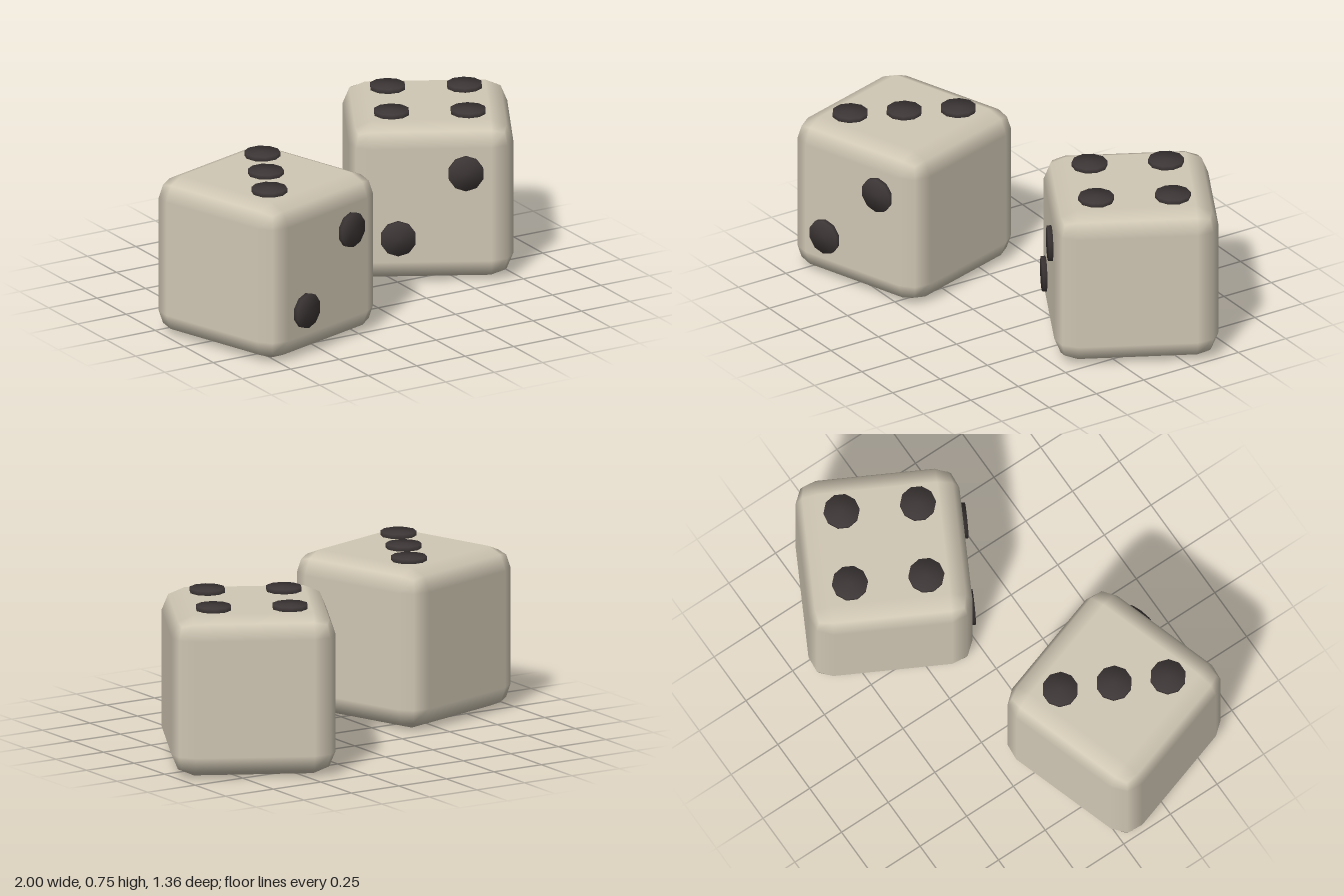
import * as THREE from 'three';
import { RoundedBoxGeometry } from 'three/addons/geometries/RoundedBoxGeometry.js';
import { mergeVertices } from 'three/addons/utils/BufferGeometryUtils.js';

const SIZE = 0.73, HALF = SIZE / 2, BEVEL = 0.1;
const PIP_RADIUS = 0.08, PIP_RISE = 0.02, PIP_DEPTH = 0.04;

const ivory = new THREE.MeshStandardMaterial({ color: 0xd1c8b5 });
ivory.name = 'ivory';
const charcoal = new THREE.MeshStandardMaterial({ color: 0x3d3636 });
charcoal.name = 'charcoal';

// Short disc with normals blended over the rim, for a soft button look
function pipGeometry() {
  const disc = new THREE.CylinderGeometry(PIP_RADIUS, PIP_RADIUS, PIP_DEPTH, 10);
  disc.deleteAttribute('normal');
  disc.deleteAttribute('uv');
  const smooth = mergeVertices(disc);
  smooth.computeVertexNormals();
  return smooth;
}

function makeDie(name, x, z, turn, topSpots, frontSpots) {
  const die = new THREE.Group();
  die.name = name;
  die.position.set(x, HALF, z);
  die.rotation.y = turn;

  // Body with bevelled edges
  const body = new THREE.Mesh(new RoundedBoxGeometry(SIZE, SIZE, SIZE, 1, BEVEL), ivory);
  body.name = 'body';
  die.add(body);

  // Pips, standing slightly proud of their face
  const pip = pipGeometry();
  const out = HALF + PIP_RISE - PIP_DEPTH / 2;
  for (const [u, v] of topSpots) {
    const mesh = new THREE.Mesh(pip, charcoal);
    mesh.name = 'topPip';
    mesh.position.set(u, out, v);
    die.add(mesh);
  }
  for (const [u, v] of frontSpots) {
    const mesh = new THREE.Mesh(pip, charcoal);
    mesh.name = 'frontPip';
    mesh.position.set(u, v, out);
    mesh.rotation.x = Math.PI / 2;
    die.add(mesh);
  }
  return die;
}

export function createModel() {
  const model = new THREE.Group();
  model.name = 'pairOfDice';
  const t = 0.17, f = 0.15;
  const two = [[-f, -f], [f, f]];
  const three = [[t, -t], [0, 0], [-t, t]];
  const four = [[-t, -t], [t, -t], [-t, t], [t, t]];
  model.add(makeDie('rightDie', -0.573, 0.24, 0.31, three, two));
  model.add(makeDie('leftDie', 0.545, -0.23, -0.49, four, two));
  return model;
}
